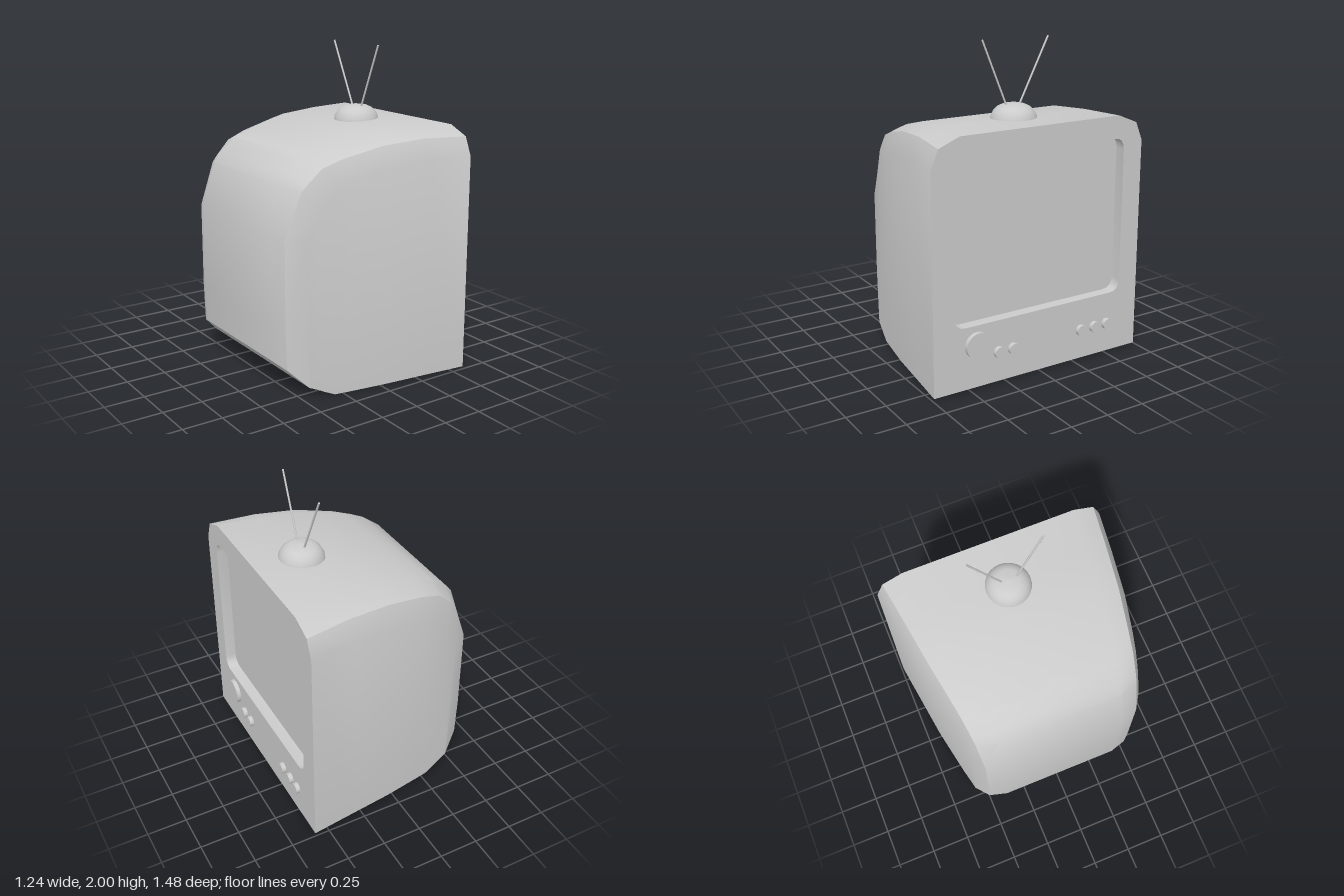
import * as THREE from 'three';
import { toCreasedNormals } from 'three/addons/utils/BufferGeometryUtils.js';

const grey = new THREE.MeshStandardMaterial({ color: 0xcccccc });
const FRONT = 0.59;

function part(name, geometry, parent) {
  const mesh = new THREE.Mesh(geometry, grey);
  mesh.name = name;
  parent.add(mesh);
  return mesh;
}

// Skin closed rings of [x, y, z] points and close the last ring with a fan
function loft(rings) {
  const n = rings[0].length, last = rings.length - 1;
  const pos = rings.flat(2), index = [];
  for (let i = 0; i < last; i++) {
    for (let j = 0; j < n; j++) {
      const k = (j + 1) % n;
      const a = i * n + j, b = i * n + k, c = a + n, d = b + n;
      index.push(a, c, b, b, c, d);
    }
  }
  for (let c = 0; c < 3; c++) pos.push(rings[last].reduce((s, p) => s + p[c], 0) / n);
  for (let j = 0; j < n; j++) index.push(rings.length * n, last * n + (j + 1) % n, last * n + j);
  const g = new THREE.BufferGeometry();
  g.setAttribute('position', new THREE.Float32BufferAttribute(pos, 3));
  g.setIndex(index);
  return toCreasedNormals(g, 0.55);
}

// Piecewise linear lookup through [x, value] pairs
function lerpTable(table, x) {
  for (let i = 1; i < table.length; i++) {
    const [x0, v0] = table[i - 1], [x1, v1] = table[i];
    if (x >= x1 || i === table.length - 1) return v0 + (v1 - v0) * (x - x0) / (x1 - x0);
  }
}

// Half widths of the casing along x: side wall, bevel ridge, top edge
const sideWidth = [[0.59, 0.738], [0.03, 0.665], [-0.48, 0.57]];
const ridgeWidth = [[0.59, 0.69], [0.03, 0.612], [-0.58, 0.505]];
const topWidth = [[0.59, 0.555], [-0.62, 0.39]];

// Stations over the top and down the back: bottom, side, ridge, top as x, y
const stations = [
  [0.59, 0.01, 0.59, 1.36, 0.59, 1.475, 0.59, 1.53],
  [0.3, 0.008, 0.3, 1.365, 0.3, 1.485, 0.3, 1.527],
  [0.03, 0.005, 0.03, 1.335, 0.03, 1.465, 0.03, 1.51],
  [-0.22, 0, -0.2, 1.27, -0.22, 1.41, -0.25, 1.44],
  [-0.3, 0, -0.29, 1.22, -0.35, 1.365, -0.37, 1.4],
  [-0.37, 0.03, -0.37, 1.14, -0.45, 1.27, -0.48, 1.32],
  [-0.41, 0.05, -0.4, 1.1, -0.48, 1.235, -0.53, 1.26],
  [-0.45, 0.066, -0.48, 0.95, -0.58, 0.97, -0.62, 0.98],
  [-0.458, 0.069, -0.48, 0.42, -0.58, 0.43, -0.62, 0.42],
  [-0.46, 0.07, -0.46, 0.07, -0.57, 0.18, -0.61, 0.215],
];

function casingRing(s) {
  const half = [sideWidth, sideWidth, ridgeWidth, topWidth].map((table, k) =>
    [s[2 * k], s[2 * k + 1], lerpTable(table, s[2 * k])]);
  const right = half.map(([x, y, z]) => [x, y, -z]);
  return [half[0], ...right, half[3], half[2], half[1]];
}

function roundedRect(w, y0, y1, r) {
  const s = new THREE.Path();
  s.moveTo(-w + r, y0);
  s.lineTo(w - r, y0);
  s.quadraticCurveTo(w, y0, w, y0 + r);
  s.lineTo(w, y1 - r);
  s.quadraticCurveTo(w, y1, w - r, y1);
  s.lineTo(-w + r, y1);
  s.quadraticCurveTo(-w, y1, -w, y1 - r);
  s.lineTo(-w, y0 + r);
  s.quadraticCurveTo(-w, y0, -w + r, y0);
  return s.getPoints(4).slice(0, -1);
}

export function createModel() {
  const tv = new THREE.Group();
  tv.name = 'television';

  // Tapered casing, open at the front
  const rings = stations.map(casingRing);
  part('casing', loft(rings), tv);

  // Front panel with the screen opening
  const opening = roundedRect(0.6, 0.4, 1.39, 0.075);
  const panel = new THREE.Shape(rings[0].map(([, y, z]) => new THREE.Vector2(-z, y)));
  panel.holes.push(new THREE.Path(opening));
  part('frontPanel', new THREE.ShapeGeometry(panel).rotateY(Math.PI / 2).translate(FRONT, 0, 0), tv);

  // Recess walls and flat screen
  const loop = opening.slice().reverse();
  part('screen', loft([FRONT, FRONT - 0.07].map(x => loop.map(p => [x, p.y, -p.x]))), tv);

  // Tuning dial and small knobs
  const knob = (name, y, z, r) => {
    const g = new THREE.CylinderGeometry(r, r, 0.045, 24).rotateZ(-Math.PI / 2);
    part(name, g, tv).position.set(FRONT + 0.004, y, z);
  };
  knob('tuningDial', 0.28, 0.45, 0.081);
  for (const z of [0.3, 0.2, -0.303, -0.408, -0.504]) knob('knob', 0.2, z, 0.035);

  // Aerial: domed base with two rods
  const aerial = new THREE.Group();
  aerial.name = 'aerial';
  aerial.position.x = 0.28;
  tv.add(aerial);
  const dome = [[0.142, 1.515], [0.138, 1.54], [0.122, 1.57], [0.098, 1.592], [0.065, 1.607], [0, 1.612]];
  part('aerialBase', new THREE.LatheGeometry(dome.map(p => new THREE.Vector2(...p)), 24), aerial);
  for (const [z0, z1] of [[0.047, 0.219], [-0.035, -0.243]]) {
    const path = new THREE.LineCurve3(new THREE.Vector3(0, 1.59, z0), new THREE.Vector3(0, 1.997, z1));
    const rod = new THREE.CylinderGeometry(0.006, 0.006, path.getLength(), 8);
    const mesh = part('aerialRod', rod, aerial);
    mesh.position.copy(path.getPoint(0.5));
    mesh.rotation.x = Math.atan2(z1 - z0, 1.997 - 1.59);
  }
  return tv;
}
